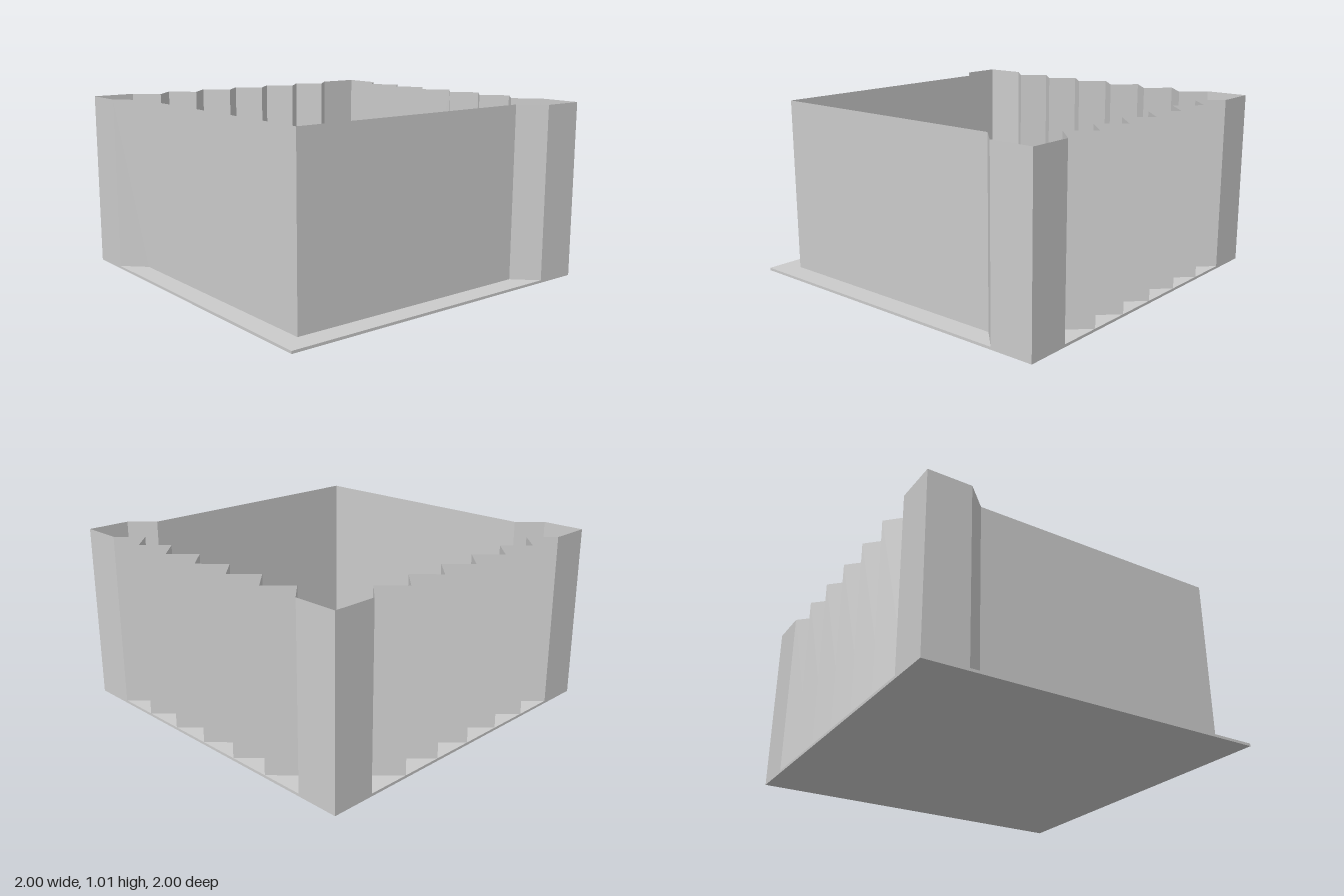
import * as THREE from 'three';

const BASE = 0.015; // slab thickness
const TOP = 1.015; // upper rim of the wall
const FOLD = 0.125; // depth of each pleat

// Plan of the wall as [x, z] points, mirrored about the x = z diagonal
function wallPlan() {
  // Back side: flat end, pleats, flat end
  const back = [[1, -1]];
  for (let i = 0; i <= 12; i++) back.push([0.75 - i * FOLD, i % 2 ? -1 + FOLD : -1]);
  back.push([-1, -1]);
  // Left-hand side of the plan repeats the same pleats
  const side = back.slice(0, -1).reverse().map(([x, z]) => [z, x]);
  // Two straight inset sides meeting at the front corner
  const inset = 1 - FOLD;
  const front = [[-0.75, 1], [-0.625, inset], [inset, inset], [inset, -0.625], [1, -0.75]];
  return [...back, ...side, ...front];
}

// Upright ribbon of flat panels following a closed plan
function ribbon(plan, y0, y1) {
  const pos = [];
  plan.forEach(([ax, az], i) => {
    const [bx, bz] = plan[(i + 1) % plan.length];
    pos.push(ax, y0, az, bx, y0, bz, bx, y1, bz);
    pos.push(ax, y0, az, bx, y1, bz, ax, y1, az);
  });
  const geo = new THREE.BufferGeometry();
  geo.setAttribute('position', new THREE.Float32BufferAttribute(pos, 3));
  geo.computeVertexNormals();
  return geo;
}

export function createModel() {
  const model = new THREE.Group();
  model.name = 'pleatedTray';

  // Thin square floor slab
  const floor = new THREE.Mesh(
    new THREE.BoxGeometry(2, BASE, 2),
    new THREE.MeshStandardMaterial({ color: 0xcccccc, flatShading: true })
  );
  floor.name = 'floorSlab';
  floor.position.y = BASE / 2;
  model.add(floor);

  // Sheet wall; reversed so that the panels face outward
  const wall = new THREE.Mesh(
    ribbon(wallPlan().reverse(), BASE, TOP),
    new THREE.MeshStandardMaterial({ color: 0xcccccc, flatShading: true, side: THREE.DoubleSide })
  );
  wall.name = 'pleatedWall';
  model.add(wall);

  return model;
}
